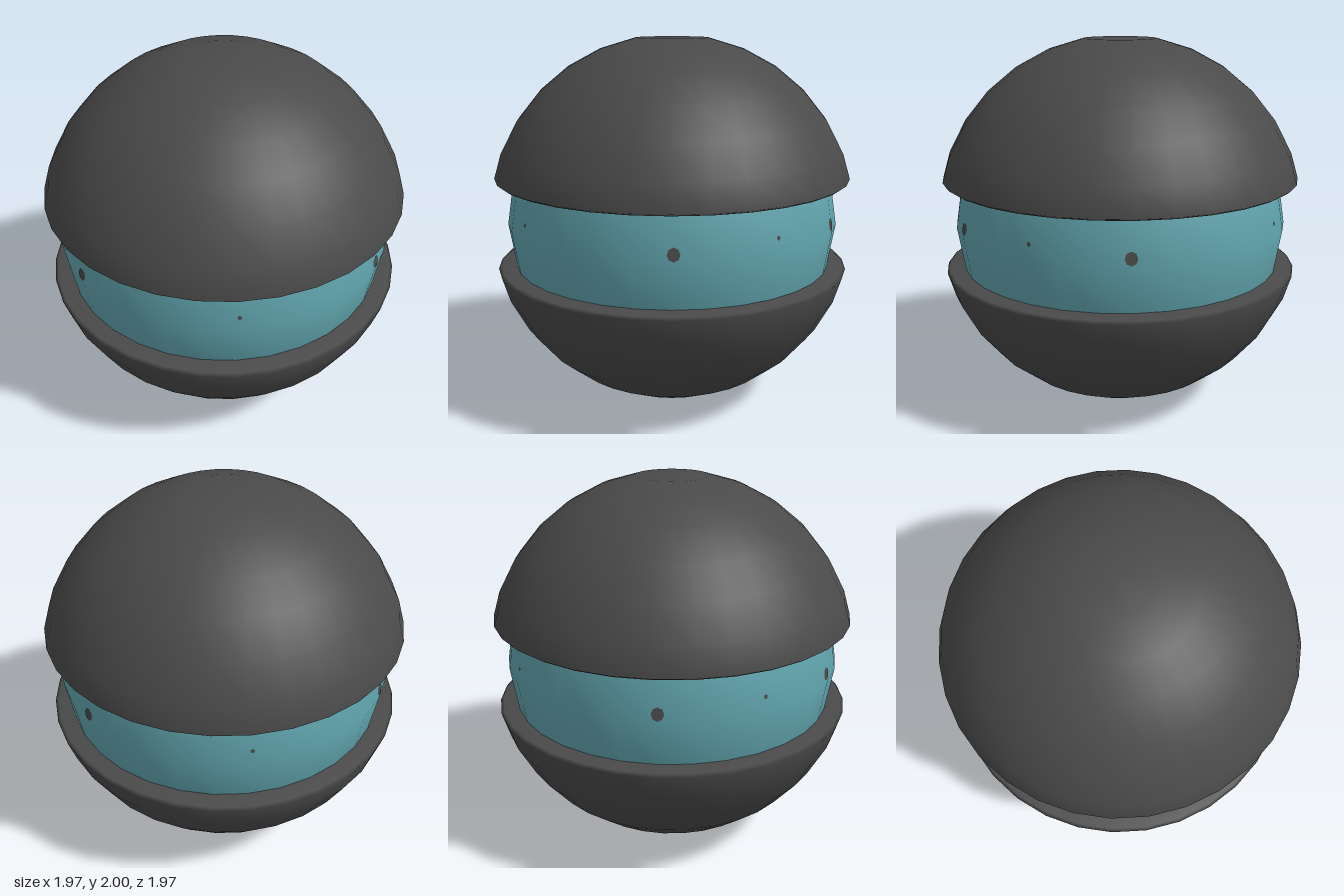
import * as THREE from 'three';

export function createModel() {
  const model = new THREE.Group();
  const shellMat = new THREE.MeshStandardMaterial({ color: 0x4a4a4a });
  shellMat.name = 'charcoal';
  const coreMat = new THREE.MeshStandardMaterial({ color: 0x62a6b0 });
  coreMat.name = 'teal';

  const SIDES = 32;
  const add = (name, geometry, material) => {
    const mesh = new THREE.Mesh(geometry, material);
    mesh.name = name;
    model.add(mesh);
    return mesh;
  };
  const lathe = (pts) =>
    new THREE.LatheGeometry(pts.map(([x, y]) => new THREE.Vector2(x, y)), SIDES);

  // Shell halves: rounded bowl with a flat end and an inward rim
  const bowl = [[0, 0]];
  for (let i = 1; i <= 6; i++) {
    const a = (i * Math.PI) / 16;
    bowl.push([1.02 * Math.sin(a), Math.max(0, 1 - 1.02 * Math.cos(a))]);
  }
  bowl.push([0.983, 0.745], [0.965, 0.757], [0.87, 0.762]);
  add('lowerShell', lathe(bowl), shellMat);
  add('upperShell', lathe(bowl.map(([x, y]) => [x, 2 - y]).reverse()), shellMat);

  // Inner core, bulging slightly between the shells
  add('core', lathe([
    [0, 0.1], [0.5, 0.23], [0.76, 0.48], [0.872, 0.7],
    [0.92, 1],
    [0.872, 1.3], [0.76, 1.52], [0.5, 1.77], [0, 1.9],
  ]), coreMat);

  // Small dark specks on the core
  const speck = (name, azimuth, y, radius) => {
    const a = THREE.MathUtils.degToRad(azimuth);
    const r = 0.921 - (y - 1) * 0.16;
    const mesh = add(name, new THREE.CircleGeometry(radius, 8), shellMat);
    mesh.position.set(r * Math.sin(a), y, r * Math.cos(a));
    mesh.rotation.set(-0.158, a, 0, 'YXZ');
    mesh.scale.y = 1.1;
  };
  for (const azimuth of [57, 123, 237, 303]) speck('speck', azimuth, 1.045, 0.032);
  for (let i = 0; i < 4; i++) speck('tinySpeck', i * 90 + 1, 1.08, 0.011);

  return model;
}
